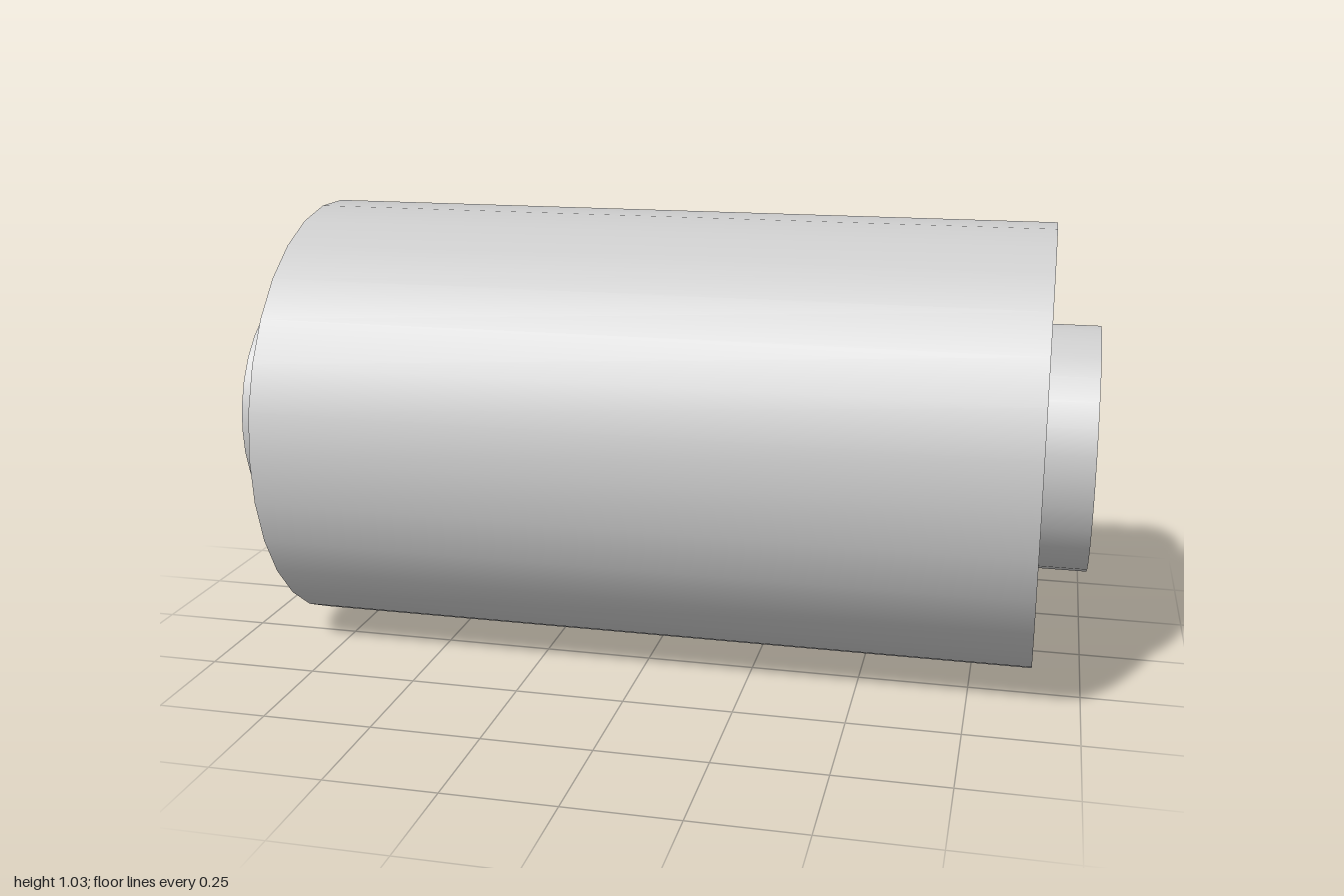
import * as THREE from 'three';
import { toCreasedNormals } from 'three/addons/utils/BufferGeometryUtils.js';

const SIDES = 30;
const OUTER = 0.517, SLEEVE = 0.285, BORE = 0.207;

// Turns a [radius, x] profile around the x axis, keeping the rims sharp.
function turned(name, profile, material) {
  const points = profile.map(([r, x]) => new THREE.Vector2(r, x));
  const geometry = new THREE.LatheGeometry(points, SIDES).rotateZ(-Math.PI / 2);
  const mesh = new THREE.Mesh(toCreasedNormals(geometry, Math.PI / 6), material);
  mesh.name = name;
  return mesh;
}

export function createModel() {
  const group = new THREE.Group();
  group.name = 'roller';
  const material = new THREE.MeshStandardMaterial({ color: 0xcccccc });

  // Thick roller body, set slightly off centre along the sleeve
  const left = 0.89, right = -0.865;
  group.add(turned('rollerBody', [
    [SLEEVE, right], [OUTER, right], [OUTER, left], [SLEEVE, left],
  ], material));

  // Inner sleeve with an open bore, showing at both ends
  group.add(turned('innerSleeve', [
    [BORE, -1], [SLEEVE, -1], [SLEEVE, 1], [BORE, 1], [BORE, -1],
  ], material));

  // Rest the lowest flat of the body on the ground
  group.position.y = OUTER * Math.cos(Math.PI / SIDES);
  return group;
}
